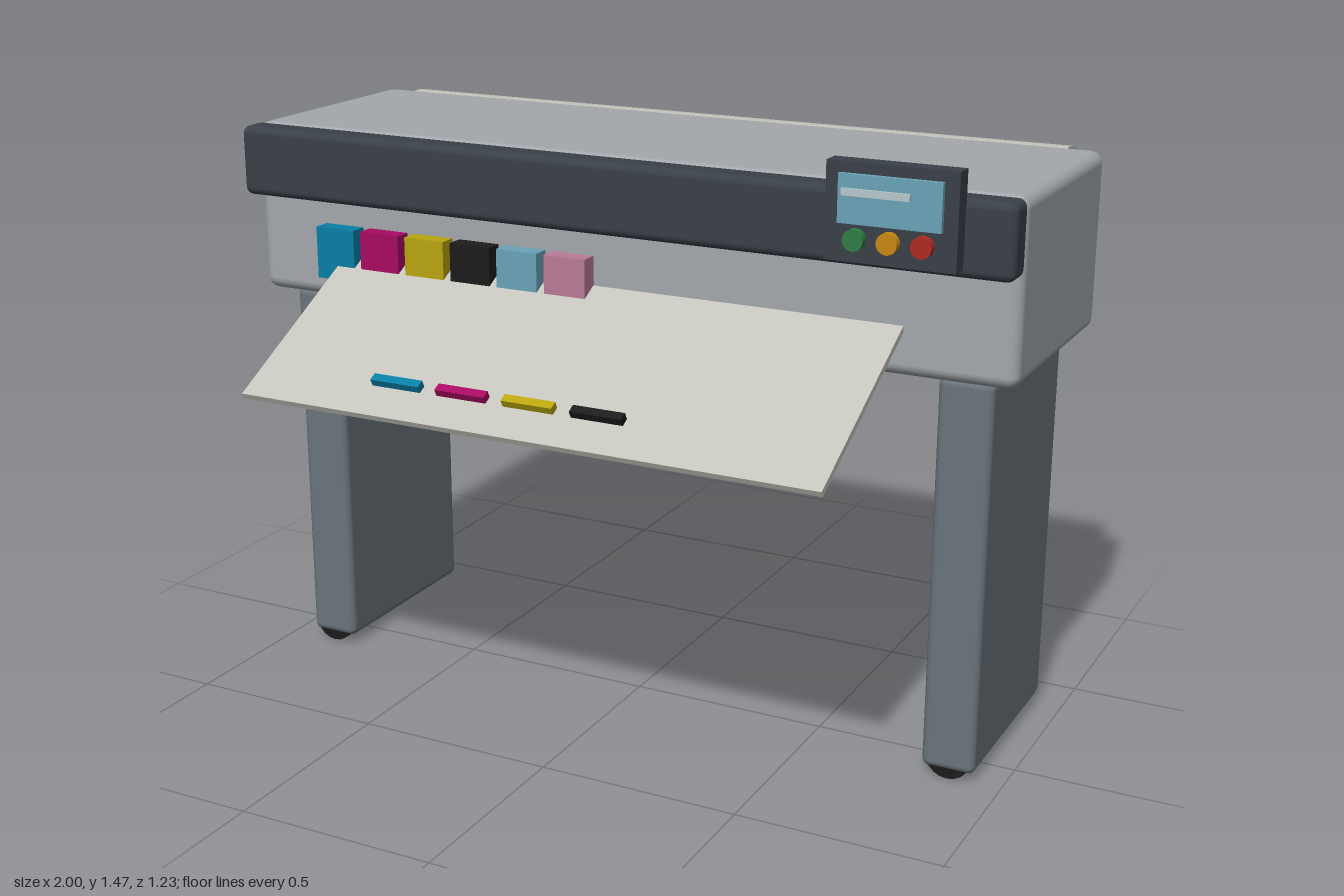
import * as THREE from 'three';
import { RoundedBoxGeometry } from 'three/addons/geometries/RoundedBoxGeometry.js';

const mat = (color) => new THREE.MeshStandardMaterial({ color });

export function createModel() {
  const model = new THREE.Group();

  const add = (name, geometry, material, x, y, z, parent = model) => {
    const mesh = new THREE.Mesh(geometry, material);
    mesh.name = name;
    mesh.position.set(x, y, z);
    parent.add(mesh);
    return mesh;
  };
  const box = (w, h, d) => new THREE.BoxGeometry(w, h, d);
  const rounded = (w, h, d, r) => new RoundedBoxGeometry(w, h, d, 3, r);

  const grey = mat(0xa4a8ac), legGrey = mat(0x6b757d), dark = mat(0x3a4049);
  const black = mat(0x1c1c1c), paper = mat(0xc4c4bc);
  const cyan = mat(0x0a7fa5), magenta = mat(0xa80a62), yellow = mat(0xb9a50e);
  const lightCyan = mat(0x6ba3b8), lightMagenta = mat(0xba7c98);

  // Main housing and front cover
  add('housing', rounded(2, 0.43, 0.605, 0.03), grey, 0, 1.195, -0.1375);
  add('frontCover', rounded(2, 0.173, 0.082, 0.02), dark, 0, 1.322, 0.189);

  // Paper roll, half sunk into the back
  const roll = add('paperRoll', new THREE.CylinderGeometry(0.172, 0.172, 1.825, 48), paper, 0, 1.237, -0.443);
  roll.rotation.z = Math.PI / 2;

  // Slab legs, each on two curved feet
  for (const side of [-1, 1]) {
    const leg = new THREE.Group();
    leg.name = side > 0 ? 'leftLeg' : 'rightLeg';
    leg.position.x = side * 0.87;
    model.add(leg);
    add('legPanel', rounded(0.13, 0.96, 0.52, 0.02), legGrey, 0, 0.5, -0.14, leg);
    for (const z of [0.08, -0.355]) {
      const foot = add('foot', new THREE.CylinderGeometry(0.055, 0.055, 0.07, 20), black, 0, 0.055, z, leg);
      foot.rotation.x = Math.PI / 2;
    }
  }

  // Ink cartridges in a row
  [cyan, magenta, yellow, black, lightCyan, lightMagenta].forEach((m, i) =>
    add('inkCartridge', box(0.11, 0.13, 0.1), m, -0.742 + i * 0.13, 1.105, 0.16));

  // Sloping output tray; local z runs down the slope
  const tray = new THREE.Group();
  tray.name = 'outputTray';
  tray.position.set(0, 0.971, 0.388);
  tray.rotation.x = 0.496;
  model.add(tray);
  add('traySheet', box(1.475, 0.015, 0.51), paper, 0, 0, 0, tray);
  [cyan, magenta, yellow, black].forEach((m, i) =>
    add('colourTab', box(0.13, 0.076, 0.022), m, -0.355 + i * 0.175, -0.012, 0.153, tray));

  // Control panel with display and buttons
  const panel = new THREE.Group();
  panel.name = 'controlPanel';
  model.add(panel);
  add('panelCase', box(0.3, 0.218, 0.047), dark, 0.738, 1.365, 0.25, panel);
  add('display', box(0.235, 0.108, 0.02), lightCyan, 0.738, 1.396, 0.276, panel);
  add('displayBar', box(0.155, 0.016, 0.01), mat(0xb8c8cc), 0.708, 1.412, 0.288, panel);
  [0x2f7d43, 0xc98a12, 0xb02a22].forEach((c, i) => {
    const button = add('button', new THREE.CylinderGeometry(0.024, 0.024, 0.026, 24), mat(c), 0.66 + i * 0.077, 1.308, 0.28, panel);
    button.rotation.x = Math.PI / 2;
  });

  return model;
}
